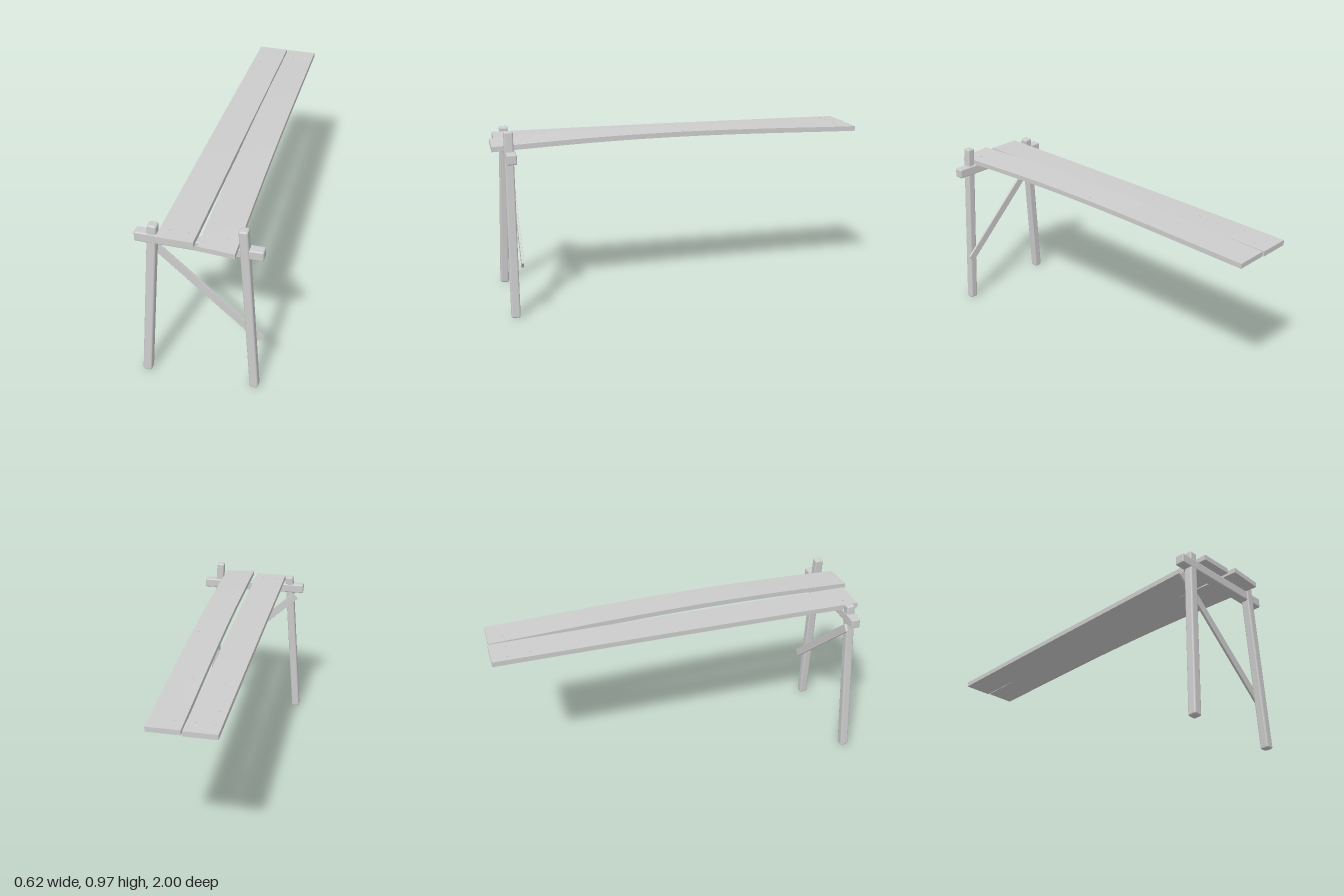
import * as THREE from 'three';
import { RoundedBoxGeometry } from 'three/addons/geometries/RoundedBoxGeometry.js';

export function createModel() {
  const model = new THREE.Group();
  model.name = 'plankTrestle';
  const wood = new THREE.MeshStandardMaterial({ color: 0xcccccc });
  wood.name = 'pale grey wood';

  const add = (geometry, name) => {
    const mesh = new THREE.Mesh(geometry, wood);
    mesh.name = name;
    model.add(mesh);
    return mesh;
  };

  // Rounded timber running between two end points, its depth kept along z
  function beam(name, a, b, width, depth, radius) {
    const from = new THREE.Vector3(...a), to = new THREE.Vector3(...b);
    const along = to.clone().sub(from);
    const geometry = new RoundedBoxGeometry(width, along.length(), depth, 2, radius);
    const mesh = add(geometry, name);
    mesh.position.copy(from).add(to).multiplyScalar(0.5);
    mesh.quaternion.setFromUnitVectors(new THREE.Vector3(0, 1, 0), along.normalize());
    return mesh;
  }

  // Trestle: two splayed legs, the cross rail and the diagonal brace
  beam('rightLeg', [-0.289, 0.002, 0.941], [-0.219, 0.917, 0.908], 0.046, 0.046, 0.009);
  beam('leftLeg', [0.268, 0.002, 0.926], [0.213, 0.97, 0.916], 0.044, 0.046, 0.009);
  beam('crossRail', [-0.308, 0.846, 0.91], [0.308, 0.843, 0.91], 0.052, 0.05, 0.007);
  beam('diagonalBrace', [-0.263, 0.802, 0.88], [0.287, 0.286, 0.88], 0.044, 0.012, 0.001);

  // Planks: x edges at back and front, underside height by rule
  const planks = [
    { name: 'rightPlank', back: [-0.171, -0.006], front: [-0.186, -0.008], z: [-1, 0.975], thick: 0.027,
      base: (u, t) => 0.870 + 0.003 * Math.sin(Math.PI * t),
      nails: [[-0.14, -0.92], [-0.05, -0.915], [-0.14, 0.91], [-0.05, 0.91], [-0.105, -0.54], [-0.13, -0.8]] },
    { name: 'leftPlank', back: [0.001, 0.168], front: [0.019, 0.193], z: [-0.995, 1], thick: 0.026,
      base: (u, t) => 0.871 + 0.024 * Math.sin(Math.PI * Math.pow(t, 1.15)) + t * (0.005 - 0.012 * u),
      nails: [[0.05, -0.92], [0.135, 0.91], [0.145, 0], [0.055, -0.53]] },
  ];
  const mix = THREE.MathUtils.lerp;
  for (const p of planks) {
    const geometry = new THREE.BoxGeometry(1, 1, 1, 2, 1, 32);
    const pos = geometry.attributes.position;
    for (let i = 0; i < pos.count; i++) {
      const u = pos.getX(i) + 0.5, v = pos.getY(i) + 0.5, t = pos.getZ(i) + 0.5;
      pos.setXYZ(i,
        mix(mix(p.back[0], p.front[0], t), mix(p.back[1], p.front[1], t), u),
        p.base(u, t) + v * p.thick,
        mix(p.z[0], p.z[1], t));
    }
    geometry.computeVertexNormals();
    add(geometry, p.name);

    // Nail heads on the walking surface
    for (const [x, z] of p.nails) {
      const t = (z - p.z[0]) / (p.z[1] - p.z[0]);
      const x0 = mix(p.back[0], p.front[0], t), x1 = mix(p.back[1], p.front[1], t);
      const nail = add(new THREE.CylinderGeometry(0.005, 0.005, 0.004, 8), 'plankNail');
      nail.position.set(x, p.base((x - x0) / (x1 - x0), t) + p.thick, z);
    }
  }

  // Nails through the left leg joint and the brace ends
  for (const [x, y, z] of [[0.214, 0.845, 0.941], [-0.235, 0.776, 0.874], [0.258, 0.313, 0.874]]) {
    const nail = add(new THREE.CylinderGeometry(0.004, 0.004, 0.004, 8), 'frameNail');
    nail.rotation.x = Math.PI / 2;
    nail.position.set(x, y, z);
  }
  return model;
}
